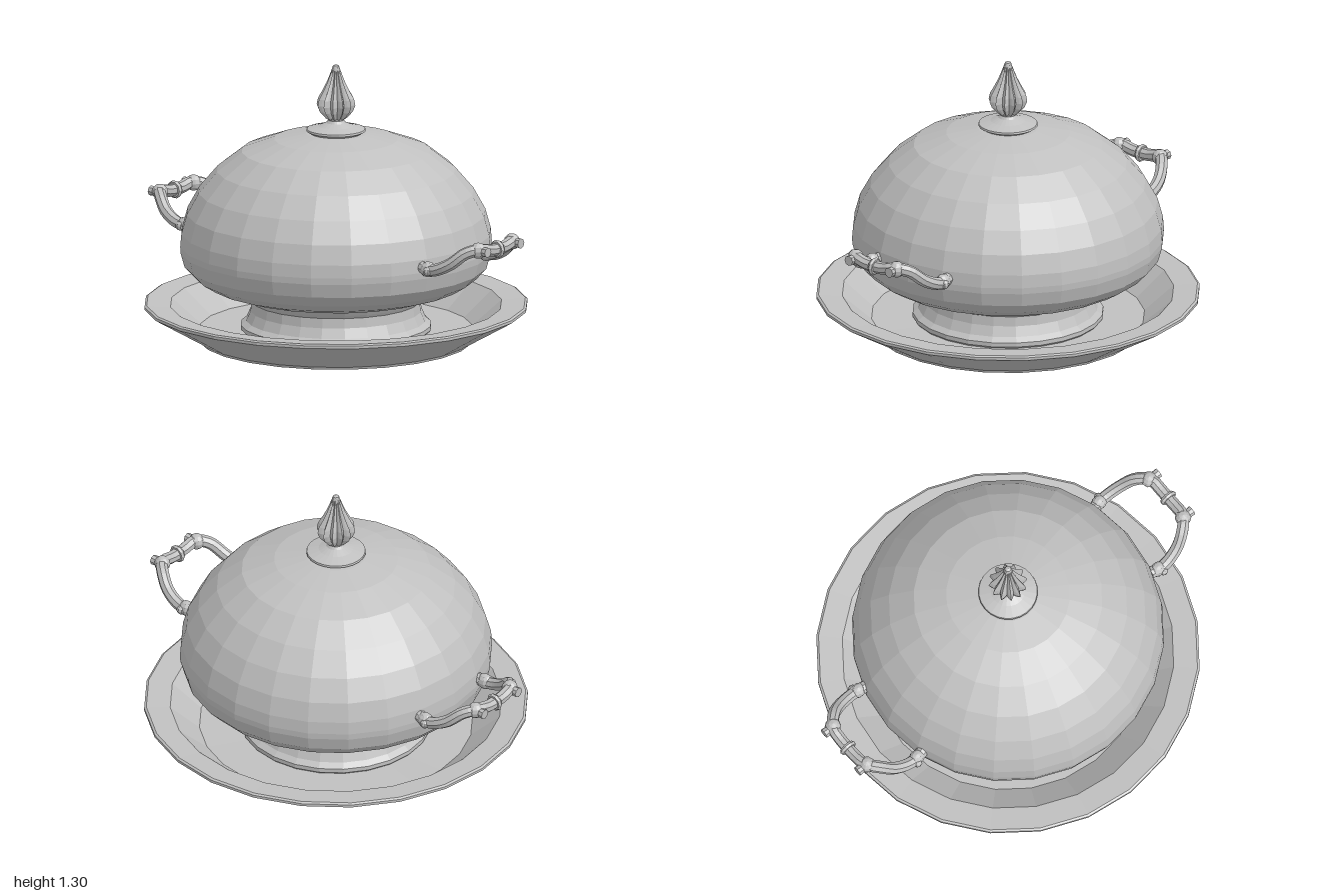
import * as THREE from 'three';

const SIDES = 24;

export function createModel() {
  const root = new THREE.Group();
  root.name = 'coveredDishOnPlate';
  const silver = new THREE.MeshStandardMaterial({ color: 0xc0c0c0, side: THREE.DoubleSide, flatShading: true });
  silver.name = 'silver';

  const add = (parent, name, geometry) => {
    const mesh = new THREE.Mesh(geometry, silver);
    mesh.name = name;
    parent.add(mesh);
    return mesh;
  };
  const lathe = (points, sides = SIDES) =>
    new THREE.LatheGeometry(points.map(([r, y]) => new THREE.Vector2(r, y)), sides);

  // Plate: open in the middle, sloping wall, flat rim
  add(root, 'plate', lathe([
    [0.42, 0.045], [0.42, 0.012], [0.6, 0.012], [0.605, 0], [0.63, 0], [0.635, 0.012],
    [0.87, 0.148], [0.885, 0.157], [0.885, 0.17], [0.875, 0.176], [0.765, 0.168],
    [0.63, 0.05], [0.42, 0.045],
  ]));

  // Flared foot ring standing in the plate
  add(root, 'foot', lathe([
    [0.43, 0.045], [0.44, 0.055], [0.44, 0.075], [0.415, 0.095], [0.395, 0.14],
    [0.39, 0.185], [0.4, 0.2], [0.415, 0.225],
  ]));

  // Bowl and domed lid, hollow inside
  add(root, 'bowl', lathe([
    [0.395, 0.222], [0.5, 0.236], [0.59, 0.265], [0.65, 0.302], [0.7, 0.355], [0.718, 0.42], [0.72, 0.45],
  ]));
  add(root, 'lid', lathe([
    [0.72, 0.45], [0.715, 0.51], [0.69, 0.6], [0.635, 0.7], [0.55, 0.8], [0.435, 0.89],
    [0.285, 0.946], [0.14, 0.972], [0, 0.975],
  ]));

  // Collar under the knob
  add(root, 'knobCollar', lathe([
    [0.11, 0.968], [0.137, 0.984], [0.135, 0.993], [0.08, 1.007], [0.045, 1.022],
    [0.036, 1.034], [0.04, 1.045], [0, 1.045],
  ]));

  // Fluted bud knob: a lathe whose radius is pinched between twelve lobes
  const knob = lathe([
    [0.028, 1.03], [0.05, 1.045], [0.078, 1.075], [0.09, 1.105], [0.084, 1.135], [0.064, 1.17],
    [0.044, 1.21], [0.028, 1.25], [0.019, 1.275], [0.014, 1.29], [0, 1.296],
  ], 48);
  const p = knob.attributes.position;
  for (let i = 0; i < p.count; i++) {
    const angle = Math.atan2(p.getX(i), p.getZ(i));
    const depth = p.getY(i) > 1.26 ? 0.06 : 0.3;
    const k = 1 - depth * (0.5 - 0.5 * Math.cos(12 * angle));
    p.setX(i, p.getX(i) * k);
    p.setZ(i, p.getZ(i) * k);
  }
  knob.computeVertexNormals();
  add(root, 'knob', knob);

  // Branch-like handles, one on each side
  const half = [[0.68, 0.475, 0.205], [0.75, 0.472, 0.215], [0.84, 0.51, 0.2], [0.905, 0.565, 0.165], [0.95, 0.58, 0.115], [0.957, 0.567, 0.05]];
  const path = new THREE.CatmullRomCurve3([
    ...half, [0.957, 0.565, 0], ...half.slice().reverse().map(([x, y, z]) => [x, y, -z]),
  ].map((v) => new THREE.Vector3(...v)));

  for (const side of [1, -1]) {
    const handle = new THREE.Group();
    handle.name = side > 0 ? 'leftHandle' : 'rightHandle';
    add(handle, 'handleBar', new THREE.TubeGeometry(path, 40, 0.029, 8));

    // Raised band at the middle of the grip
    const band = add(handle, 'handleBand', new THREE.TorusGeometry(0.03, 0.013, 6, 10));
    band.position.set(0.957, 0.565, 0);

    for (const z of [1, -1]) {
      // Swollen root against the bowl, small bud, and outward stub
      const foot = add(handle, 'handleRoot', new THREE.SphereGeometry(0.037, 10, 6));
      foot.scale.set(1.15, 1, 0.9);
      foot.position.set(0.72, 0.472, 0.212 * z);
      const bud = add(handle, 'handleBud', new THREE.SphereGeometry(0.022, 8, 6));
      bud.position.set(0.735, 0.468, 0.234 * z);
      const knuckle = add(handle, 'handleKnuckle', new THREE.SphereGeometry(0.038, 10, 6));
      knuckle.position.set(0.945, 0.577, 0.122 * z);
      const stub = add(handle, 'handleStub', new THREE.CylinderGeometry(0.024, 0.02, 0.05, 8));
      stub.rotation.z = -Math.PI / 2;
      stub.position.set(0.975, 0.575, 0.12 * z);
    }
    if (side < 0) handle.rotation.y = Math.PI;
    root.add(handle);
  }
  return root;
}
